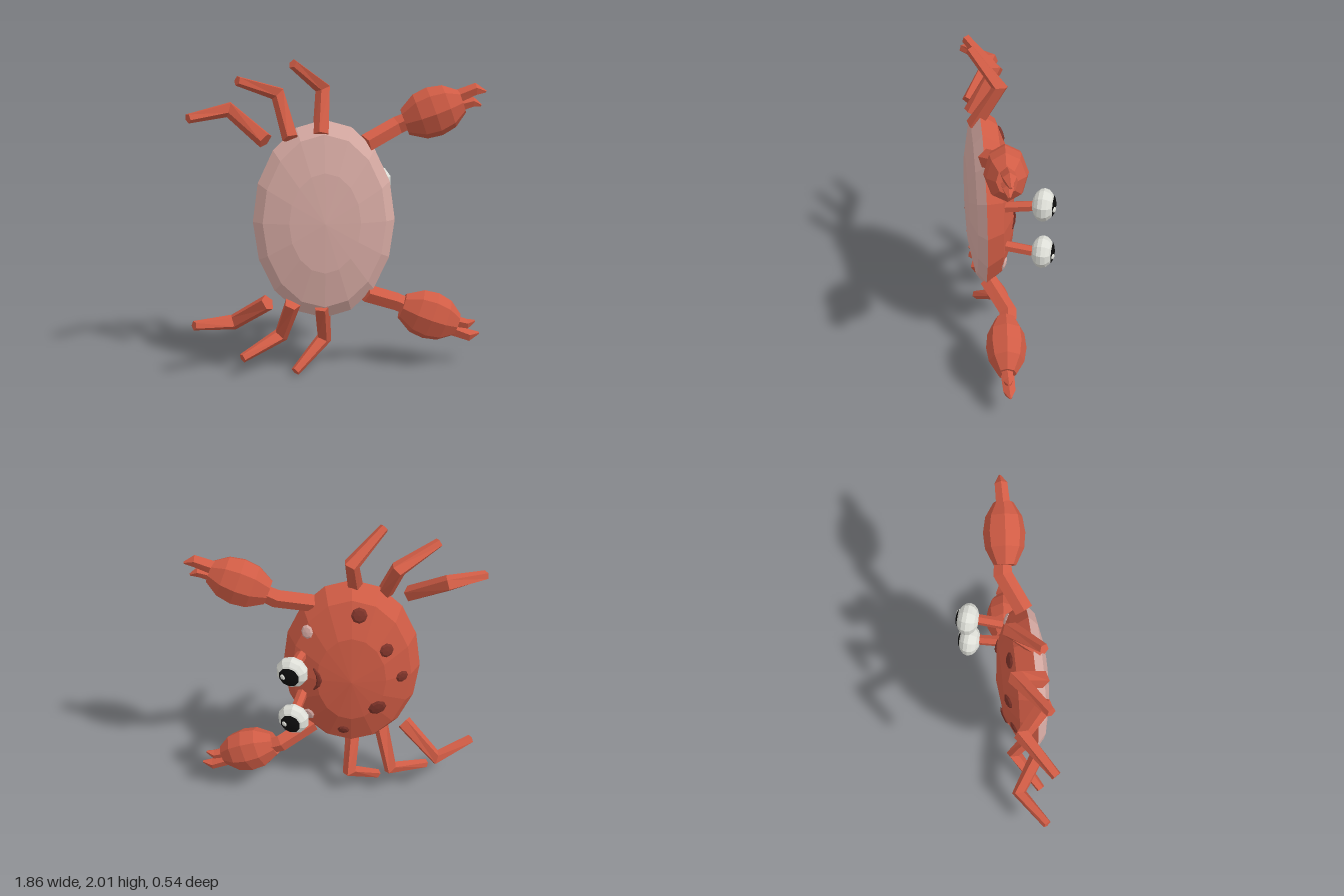
import * as THREE from 'three';

const mat = (name, color) => Object.assign(new THREE.MeshStandardMaterial({ color }), { name });
const V = (x, y, z) => new THREE.Vector3(x, y, z);

// Faceted normals for a low-poly look
function facet(geo) {
  const g = geo.index ? geo.toNonIndexed() : geo;
  g.computeVertexNormals();
  return g;
}

// Capped tapering tube: one ring of the given radius at each point
function limb(points, radii, sides = 5, squash = 1) {
  const dirs = points.slice(1).map((p, i) => p.clone().sub(points[i]).normalize());
  const ref = Math.abs(dirs[0].z) > 0.9 ? V(1, 0, 0) : V(0, 0, 1);
  const rings = points.map((p, i) => {
    const t = (dirs[i - 1] || dirs[i]).clone().add(dirs[i] || dirs[i - 1]).normalize();
    const u = ref.clone().cross(t).normalize();
    const v = t.clone().cross(u);
    return Array.from({ length: sides }, (_, j) => {
      const a = (j / sides) * Math.PI * 2;
      return p.clone().addScaledVector(u, radii[i] * Math.cos(a))
        .addScaledVector(v, radii[i] * squash * Math.sin(a));
    });
  });
  const tris = [];
  const last = points.length - 1;
  for (let j = 0; j < sides; j++) {
    const k = (j + 1) % sides;
    for (let i = 0; i < last; i++) {
      const [a, b, c, d] = [rings[i][j], rings[i][k], rings[i + 1][k], rings[i + 1][j]];
      tris.push(a, b, c, a, c, d);
    }
    tris.push(points[0], rings[0][k], rings[0][j], points[last], rings[last][j], rings[last][k]);
  }
  return facet(new THREE.BufferGeometry().setFromPoints(tris));
}

// Body measures and the shell's surface height
const CX = -0.09, RX = 0.445, RY = 0.635, RIM = 0.155, BACK = 0.215, BELLY = 0.11;
function shellZ(x, dy) {
  const r = Math.hypot((x - CX) / RX, dy / RY);
  const prof = [[0, 1], [0.5, 0.866], [0.866, 0.5], [1, 0]];
  for (let i = 0; i < 3; i++) {
    const [r0, h0] = prof[i], [r1, h1] = prof[i + 1];
    if (r <= r1) return RIM - BACK * (h0 + (h1 - h0) * (r - r0) / (r1 - r0));
  }
  return RIM;
}
function shellNormal(x, dy) {
  const e = 0.03;
  return V((shellZ(x + e, dy) - shellZ(x - e, dy)) / (2 * e),
    (shellZ(x, dy + e) - shellZ(x, dy - e)) / (2 * e), -1).normalize();
}

export function createModel() {
  const model = new THREE.Group();
  model.name = 'crab';
  const red = mat('shell red', 0xd05c45);
  const pink = mat('belly pink', 0xd9aca5);
  const dark = mat('spot dark red', 0x7d3329);
  const white = mat('eye white', 0xdedfd8);
  const black = mat('pupil black', 0x0c0c0c);
  const add = (name, geo, material, parent = model) => {
    const m = new THREE.Mesh(geo, material);
    m.name = name;
    parent.add(m);
    return m;
  };

  // Body: two half ellipsoids meeting at the rim
  const half = (turn, depth) => facet(new THREE.SphereGeometry(1, 16, 3, 0, Math.PI * 2, 0, Math.PI / 2)
    .rotateX(turn).scale(RX, RY, depth).translate(CX, 1, RIM));
  add('shell', half(-Math.PI / 2, BACK), red);
  add('belly', half(Math.PI / 2, BELLY), pink);

  // Thin lens-shaped patches lying on the shell
  const patch = (name, x, dy, rx, ry, material) => {
    const m = add(name, facet(new THREE.SphereGeometry(1, 8, 4).rotateX(-Math.PI / 2).scale(rx, ry, 0.013)), material);
    m.position.set(x, 1 + dy, shellZ(x, dy));
    m.quaternion.setFromUnitVectors(V(0, 0, -1), shellNormal(x, dy));
  };
  const spots = [[-0.135, 0.46, 0.052], [-0.31, 0.22, 0.048], [-0.415, 0, 0.043], [-0.26, -0.22, 0.062], [-0.04, -0.44, 0.04]];
  spots.forEach(([x, dy, r]) => patch('spot', x, dy, r, r, dark));

  // Mouth: a shallow smile across the shell, curving away from the eyes
  const smile = [-2, -1, 0, 1, 2].map((i) => {
    const x = 0.115 + 0.009 * i * i, dy = i * 0.042;
    return V(x, 1 + dy, shellZ(x, dy) - 0.003);
  });
  add('mouth', limb(smile, [0.006, 0.014, 0.018, 0.014, 0.006], 6, 0.6), dark);

  // Everything paired is mirrored about y = 1
  for (const s of [1, -1]) {
    const side = new THREE.Group();
    side.name = s > 0 ? 'upperSide' : 'lowerSide';
    model.add(side);
    const P = (x, dy, z) => V(x, 1 + s * dy, z);

    patch('cheek', 0.19, s * 0.325, 0.04, 0.048, pink);

    // Walking legs: hip, knee, tip
    const legs = [
      [P(-0.11, 0.545, 0.19), P(-0.085, 0.815, 0.03), P(-0.28, 0.98, 0.19)],
      [P(-0.295, 0.525, 0.19), P(-0.365, 0.785, 0.03), P(-0.615, 0.88, 0.19)],
      [P(-0.45, 0.515, 0.19), P(-0.67, 0.69, 0.03), P(-0.915, 0.655, 0.19)],
    ];
    legs.forEach((pts) => add('leg', limb(pts, [0.053, 0.052, 0.031]), red, side));

    // Claw arm, palm and two pincers
    const claw = new THREE.Group();
    claw.name = 'claw';
    side.add(claw);
    add('arm', limb([P(0.17, 0.48, 0.14), P(0.38, 0.575, 0.035), P(0.47, 0.615, 0.045)], [0.06, 0.06, 0.055]), red, claw);
    const palm = [0, 0.27, 0.52, 0.77, 1].map((t) => P(0.425 + 0.355 * t, 0.6 + 0.13 * t, 0.055 + 0.03 * t));
    add('palm', limb(palm, [0.085, 0.148, 0.16, 0.14, 0.075], 8, 0.8), red, claw);
    add('upperPincer', limb([P(0.74, 0.755, 0.08), P(0.865, 0.805, 0.08), P(0.93, 0.79, 0.08)], [0.045, 0.04, 0.008]), red, claw);
    add('lowerPincer', limb([P(0.75, 0.70, 0.085), P(0.85, 0.725, 0.085), P(0.9, 0.705, 0.085)], [0.04, 0.033, 0.008]), red, claw);

    // Eye on a stalk, looking out from the shell
    add('eyeStalk', limb([P(0.225, 0.15, 0.04), P(0.275, 0.18, -0.16)], [0.036, 0.034], 6), red, side);
    const eye = new THREE.Group();
    eye.name = 'eye';
    side.add(eye);
    const axis = V(0.3, 0, -0.954);
    eye.position.copy(P(0.275, 0.183, -0.198));
    eye.quaternion.setFromUnitVectors(V(0, 1, 0), axis);
    add('eyeball', facet(new THREE.SphereGeometry(1, 10, 8).scale(0.104, 0.072, 0.104)), white, eye);
    add('pupil', facet(new THREE.SphereGeometry(1, 10, 3, 0, Math.PI * 2, 0, 0.66).scale(0.108, 0.077, 0.108)), black, eye);
    const glint = add('eyeGlint', facet(new THREE.SphereGeometry(1, 8, 4).scale(0.02, 0.009, 0.02)), white, side);
    glint.position.copy(eye.position).addScaledVector(axis, 0.07).add(V(0.036, 0, 0.011));
    glint.quaternion.setFromUnitVectors(V(0, 1, 0), V(0.6, 0, -0.8));
  }
  return model;
}
